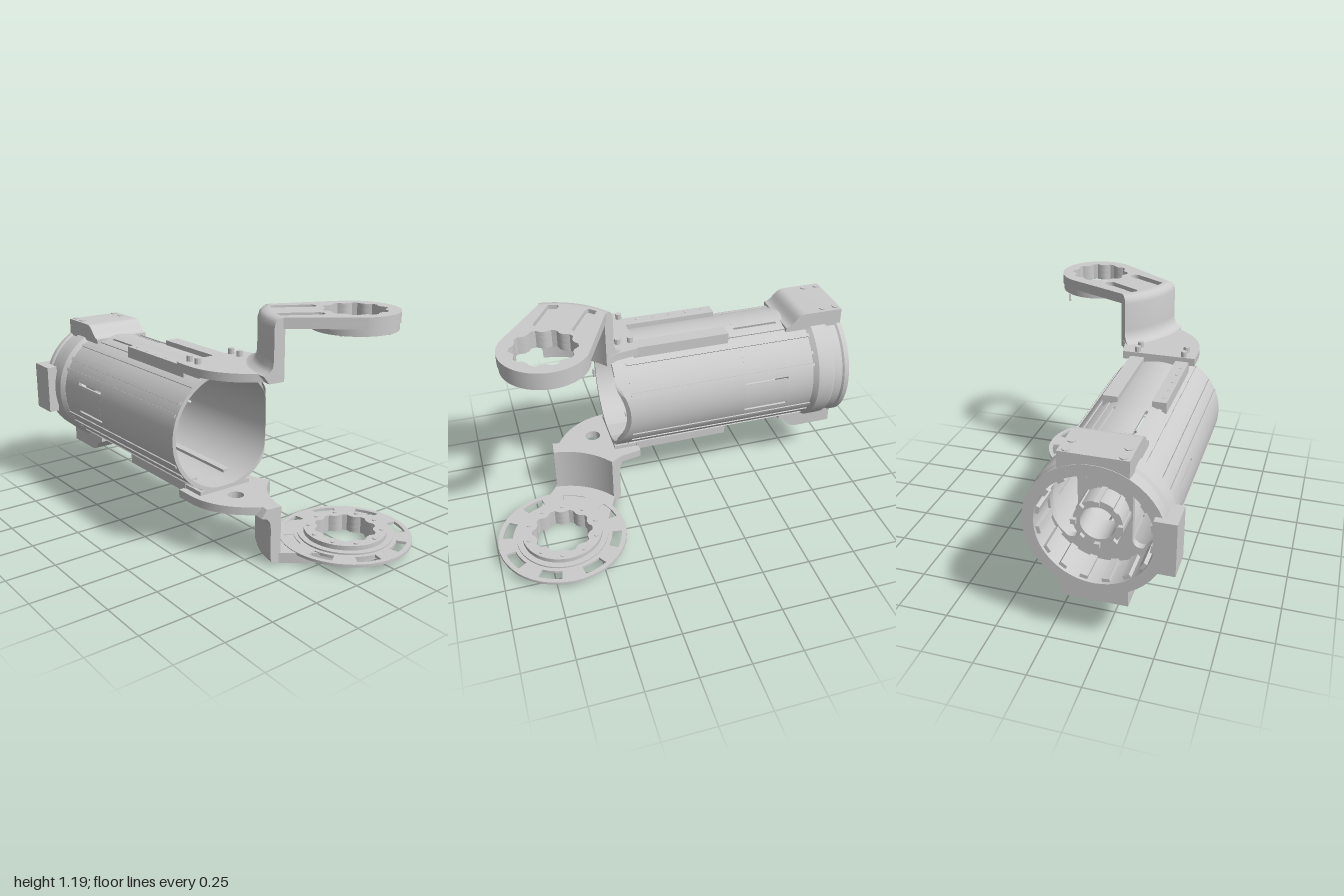
import * as THREE from 'three';
import { toCreasedNormals } from 'three/addons/utils/BufferGeometryUtils.js';

const CX = -0.215, CY = 0.5935;   // barrel axis
const RX = 0.255, RZ = 0.665;     // arm ring centre
const rad = THREE.MathUtils.degToRad;
const mat = new THREE.MeshStandardMaterial({ color: 0xcccccc, side: THREE.DoubleSide });

// mirror a geometry top to bottom, keeping faces outward
function flipY(g) {
  g = g.index ? g.toNonIndexed() : g;
  g.scale(1, -1, 1).translate(0, 2 * CY, 0);
  const p = g.attributes.position, a = new THREE.Vector3(), b = new THREE.Vector3();
  for (let i = 0; i < p.count; i += 3) {
    a.fromBufferAttribute(p, i); b.fromBufferAttribute(p, i + 2);
    p.setXYZ(i, b.x, b.y, b.z); p.setXYZ(i + 2, a.x, a.y, a.z);
  }
  return g;
}
function add(parent, name, g, flip = false) {
  if (flip) g = flipY(g);
  const m = new THREE.Mesh(toCreasedNormals(g, 0.6), mat);
  m.name = name;
  parent.add(m);
  return m;
}
const box = (x0, x1, y0, y1, z0, z1) => new THREE.BoxGeometry(x1 - x0, y1 - y0, z1 - z0)
  .translate((x0 + x1) / 2, (y0 + y1) / 2, (z0 + z1) / 2);
const peg = (x, z, y0, y1, r) => new THREE.CylinderGeometry(r, r, y1 - y0, 10).translate(x, (y0 + y1) / 2, z);
const extrude = (s, d, n = 24) => new THREE.ExtrudeGeometry(s, { depth: d, bevelEnabled: false, curveSegments: n });
// outline given in x,z raised between two heights
const plan = (s, y0, y1) => extrude(s, y1 - y0).rotateX(Math.PI / 2).translate(0, y1, 0);
// outline about the barrel axis, swept along z
const along = (s, z0, z1, n) => extrude(s, z1 - z0, n).translate(CX, CY, z0);

function sector(r0, r1, a, b, x = 0, y = 0, Type = THREE.Shape) {
  const s = new Type();
  s.absarc(x, y, r1, a, b, false);
  s.absarc(x, y, r0, b, a, true);
  s.closePath();
  return s;
}
const circle = (r, x = 0, y = 0, Type = THREE.Shape) => new Type().absarc(x, y, r, 0, Math.PI * 2, false);
function ring(r0, r1, x = 0, y = 0) {
  const s = circle(r1, x, y);
  s.holes.push(circle(r0, x, y, THREE.Path));
  return s;
}
// toothed bore of the arm rings
function toothedBore() {
  const pts = [];
  for (let i = 0; i < 40; i++) {
    const r = i % 4 < 2 ? 0.138 : 0.155, a = (i + 0.5) / 40 * Math.PI * 2;
    pts.push(new THREE.Vector2(RX + r * Math.cos(a), RZ + r * Math.sin(a)));
  }
  return new THREE.Path(pts);
}

function buildBarrel(root) {
  const g = new THREE.Group(); g.name = 'barrel'; root.add(g);
  const front = along(ring(0.286, 0.305), -0.38, 0.3, 32);
  // slanted cut at the front of the left side
  const p = front.attributes.position;
  for (let i = 0; i < p.count; i++)
    if (p.getZ(i) > 0.29) p.setZ(i, 0.3 - Math.max(0, p.getX(i) - 0.03));
  add(g, 'barrelFront', front);
  add(g, 'barrelRear', along(ring(0.286, 0.305), -0.79, -0.62, 32));
  // slotted middle: two slots on each of four sides
  const cuts = [];
  for (let k = 0; k < 4; k++) cuts.push(k * 90 - 14.8, k * 90 + 14.8);
  cuts.forEach((c, i) => {
    const next = i < 7 ? cuts[i + 1] : cuts[0] + 360;
    add(g, 'slottedWall', along(sector(0.286, 0.305, rad(c + 1.2), rad(next - 1.2)), -0.62, -0.38, 16));
  });
  // long fine ribs
  for (const a of [24, 36, 54, 66, 114, 126, 144, 156, 204, 216, 234, 246, 294, 306, 324, 336])
    add(g, 'rib', along(sector(0.3, 0.311, rad(a - 1.6), rad(a + 1.6)), -0.78, a > 270 || a < 90 ? 0.23 : 0.29, 2));
  // rails and saddles above and below
  for (const f of [false, true]) {
    add(g, 'rail', box(-0.37, -0.3, 0.853, 0.913, -0.325, 0.18), f);
    add(g, 'rail', box(-0.135, -0.06, 0.853, 0.913, -0.325, 0.18), f);
    add(g, 'saddle', box(-0.365, -0.065, 0.875, 0.897, 0.17, 0.3), f);
    for (let i = 0; i < 5; i++) add(g, 'railPin', peg(-0.345, -0.27 + i * 0.09, 0.91, 0.915, 0.008), f);
  }
}

function buildRear(root) {
  const g = new THREE.Group(); g.name = 'rearHousing'; root.add(g);
  const profile = [[0.268, -0.77], [0.306, -0.765], [0.325, -0.79], [0.325, -0.87], [0.313, -0.885],
    [0.313, -0.93], [0.321, -0.94], [0.321, -0.965], [0.268, -0.965], [0.268, -0.77]];
  add(g, 'collar', new THREE.LatheGeometry(profile.map(([r, z]) => new THREE.Vector2(r, -z)).reverse(), 48)
    .rotateX(-Math.PI / 2).translate(CX, CY, 0));
  for (let i = 0; i < 16; i++) {
    const a = (i + 0.5) / 16 * Math.PI * 2;
    add(g, 'collarLug', along(sector(0.25, 0.275, a - 0.07, a + 0.07), -0.95, -0.8, 3));
  }
  // bulkhead with two side windows and a central bore
  const s = circle(0.287);
  s.holes.push(circle(0.08, 0, 0, THREE.Path));
  for (const k of [1, -1]) {
    const w = new THREE.Path();
    w.moveTo(k * 0.125, -0.13);
    w.quadraticCurveTo(k * 0.13, -0.18, k * 0.175, -0.17);
    w.quadraticCurveTo(k * 0.255, -0.11, k * 0.255, 0);
    w.quadraticCurveTo(k * 0.255, 0.11, k * 0.175, 0.17);
    w.quadraticCurveTo(k * 0.13, 0.18, k * 0.125, 0.13);
    w.closePath();
    s.holes.push(w);
  }
  add(g, 'bulkhead', along(s, -0.79, -0.755));
  add(g, 'hub', along(ring(0.08, 0.112), -0.9, -0.785));
  for (let i = 0; i < 8; i++) {
    const a = i / 8 * Math.PI * 2;
    const lug = add(g, 'hubLug', new THREE.BoxGeometry(0.024, 0.024, 0.19));
    lug.position.set(CX + 0.106 * Math.cos(a), CY + 0.106 * Math.sin(a), -0.825);
    lug.rotation.z = a;
  }
  // mounting blocks with ramped fronts
  const b = new THREE.Shape();
  b.moveTo(0.65, 0.865);
  b.lineTo(0.65, 0.89);
  b.bezierCurveTo(0.7, 0.895, 0.7, 0.956, 0.76, 0.956);
  b.lineTo(0.962, 0.956);
  b.lineTo(0.962, 0.865);
  b.closePath();
  for (const f of [false, true]) {
    add(g, 'mountBlock', extrude(b, 0.31, 10).rotateY(Math.PI / 2).translate(-0.37, 0, 0), f);
    for (const x of [-0.34, -0.095]) for (const z of [-0.94, -0.865])
      add(g, 'mountBolt', peg(x, z, 0.94, 0.961, 0.018), f);
  }
  // connector box on the right side
  add(g, 'sideBox', box(-0.58, -0.525, 0.465, 0.72, -1, -0.85));
  add(g, 'sideBoxLip', box(-0.58, -0.48, 0.465, 0.72, -1, -0.96));
}

function buildArm(root, low) {
  const g = new THREE.Group(); g.name = low ? 'lowerArm' : 'upperArm'; root.add(g);
  const put = (name, geo) => add(g, name, geo, low);
  // bolted flange on the barrel
  const fl = new THREE.Shape();
  fl.moveTo(-0.4, 0.17);
  fl.lineTo(-0.02, 0.17);
  fl.lineTo(0, 0.28);
  fl.absarc(RX, RZ, 0.4, rad(236), rad(186), true);
  fl.lineTo(-0.19, 0.59);
  fl.quadraticCurveTo(-0.39, 0.48, -0.4, 0.28);
  fl.closePath();
  if (low) fl.holes.push(circle(0.04, -0.22, 0.39, THREE.Path));
  put('flange', plan(fl, 0.895, 0.935));
  for (const x of [-0.34, -0.095]) for (const z of [0.19, 0.255]) put('flangeBolt', peg(x, z, 0.93, 0.963, 0.016));
  // curved upright, filleted into flange and plate
  const pts = [[0.39, 0.895], [0.47, 0.895], [0.5, 0.934], [0.468, 0.945], [0.452, 0.965], [0.447, 1],
    [0.447, 1.145], [0.44, 1.17], [0.425, 1.183], [0.4, 1.187], [0.39, 1.187], [0.39, 0.895]]
    .map(([r, y]) => new THREE.Vector2(r, y));
  put('upright', new THREE.LatheGeometry(pts, 16, rad(-146), rad(50)).translate(RX, 0, RZ));
  for (const d of [-146, -96])
    put('uprightEnd', new THREE.ShapeGeometry(new THREE.Shape(pts)).rotateY(rad(d - 90)).translate(RX, 0, RZ));
  // plate out to the ring, upper skin with two grooves
  const outline = () => {
    const s = new THREE.Shape();
    s.absarc(RX, RZ, 0.4, rad(186), rad(236), false);
    s.absarc(RX, RZ, 0.21, rad(-59), rad(121), false);
    s.closePath();
    s.holes.push(toothedBore());
    return s;
  };
  const skin = outline(), c = Math.cos(rad(31)), n = Math.sin(rad(31)), w = 0.028;
  for (const v of [-0.095, 0.095]) {
    const at = u => [RX + u * c - v * n, RZ + u * n + v * c];
    const h = new THREE.Path();
    h.absarc(...at(-0.19), w, rad(-59), rad(121), false);
    h.absarc(...at(-0.36), w, rad(121), rad(301), false);
    h.closePath();
    skin.holes.push(h);
  }
  put('plate', plan(outline(), 1.135, 1.165));
  put('plateSkin', plan(skin, 1.165, 1.187));
  const collar = circle(0.205, RX, RZ);
  collar.holes.push(toothedBore());
  put('ring', plan(collar, 1.1, 1.136));
  for (let i = 0; i < 10; i++) {
    const a = rad(i * 36 + 10);
    put('ringScrew', peg(RX + 0.18 * Math.cos(a), RZ + 0.18 * Math.sin(a), 1.095, 1.19 - 0.003, 0.011));
  }
  if (!low) for (const [x, z] of [[0.37, 0.78], [0.37, 0.47]]) put('pin', peg(x, z, 1.07, 1.11, 0.005));
  if (low) {
    // wide windowed disc around the lower ring
    const d = ring(0.19, 0.33, RX, RZ);
    for (let i = 0; i < 8; i++) {
      const a = rad(i * 45 + 22.5);
      d.holes.push(sector(0.255, 0.305, a - 0.2, a + 0.2, RX, RZ, THREE.Path));
    }
    add(g, 'disc', plan(d, 0.042, 0.056));
    add(g, 'discStep', plan(ring(0.19, 0.235, RX, RZ), 0.03, 0.064));
  }
}

export function createModel() {
  const root = new THREE.Group();
  root.name = 'jointedBarrel';
  buildBarrel(root);
  buildRear(root);
  buildArm(root, false);
  buildArm(root, true);
  return root;
}
